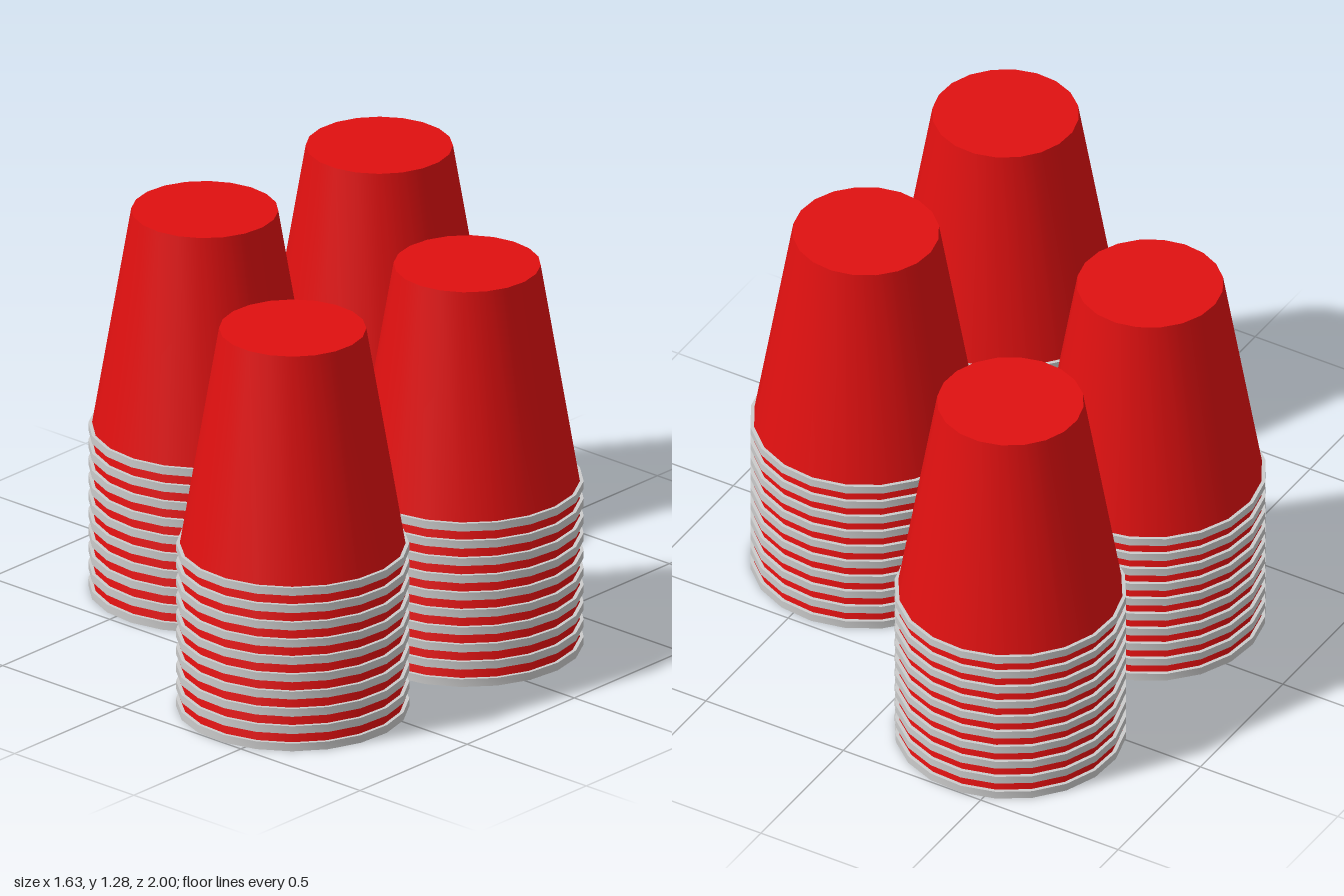
import * as THREE from 'three';
import { toCreasedNormals } from 'three/addons/utils/BufferGeometryUtils.js';

const SIDES = 20;
const CUPS = 10;        // cups nested in each stack
const STEP = 0.0585;    // height between neighbouring rims
const CUP_H = 0.754;
const RIM_R = 0.364, RIM_H = 0.026;
const MOUTH_R = 0.356, BASE_R = 0.23;

const red = new THREE.MeshStandardMaterial({ color: 0xe01010, side: THREE.DoubleSide });
const grey = new THREE.MeshStandardMaterial({ color: 0xcccccc });

function lathe(points) {
  const profile = points.map(([r, y]) => new THREE.Vector2(r, y));
  return toCreasedNormals(new THREE.LatheGeometry(profile, SIDES), 0.6);
}

function addPart(parent, name, geometry, material) {
  const mesh = new THREE.Mesh(geometry, material);
  mesh.name = name;
  parent.add(mesh);
  return mesh;
}

export function createModel() {
  const model = new THREE.Group();
  model.name = 'cupStacks';

  // Upside-down cup: tapered open wall, flat base on top, lip at the mouth
  const wall = lathe([[MOUTH_R, 0.004], [BASE_R, CUP_H]]);
  const base = lathe([[BASE_R, CUP_H], [0, CUP_H]]);
  const inner = MOUTH_R - 0.011;
  const rim = lathe([[RIM_R, 0], [RIM_R, RIM_H], [inner, RIM_H], [inner, 0], [RIM_R, 0]]);

  // Four stacks: x, z, turn
  const stacks = [
    [-0.39, -0.636, 0.1], [-0.45, 0.112, 0.05],
    [0.45, -0.112, 0.05], [0.39, 0.636, 0.1],
  ];
  stacks.forEach(([x, z, turn], s) => {
    const stack = new THREE.Group();
    stack.name = `cupStack${s + 1}`;
    stack.position.set(x, 0, z);
    stack.rotation.y = turn;
    for (let i = 0; i < CUPS; i++) {
      const cup = new THREE.Group();
      cup.name = `cup${i + 1}`;
      cup.position.y = i * STEP;
      addPart(cup, 'cupWall', wall, red);
      addPart(cup, 'cupBase', base, red);
      addPart(cup, 'cupRim', rim, grey);
      stack.add(cup);
    }
    model.add(stack);
  });
  return model;
}
